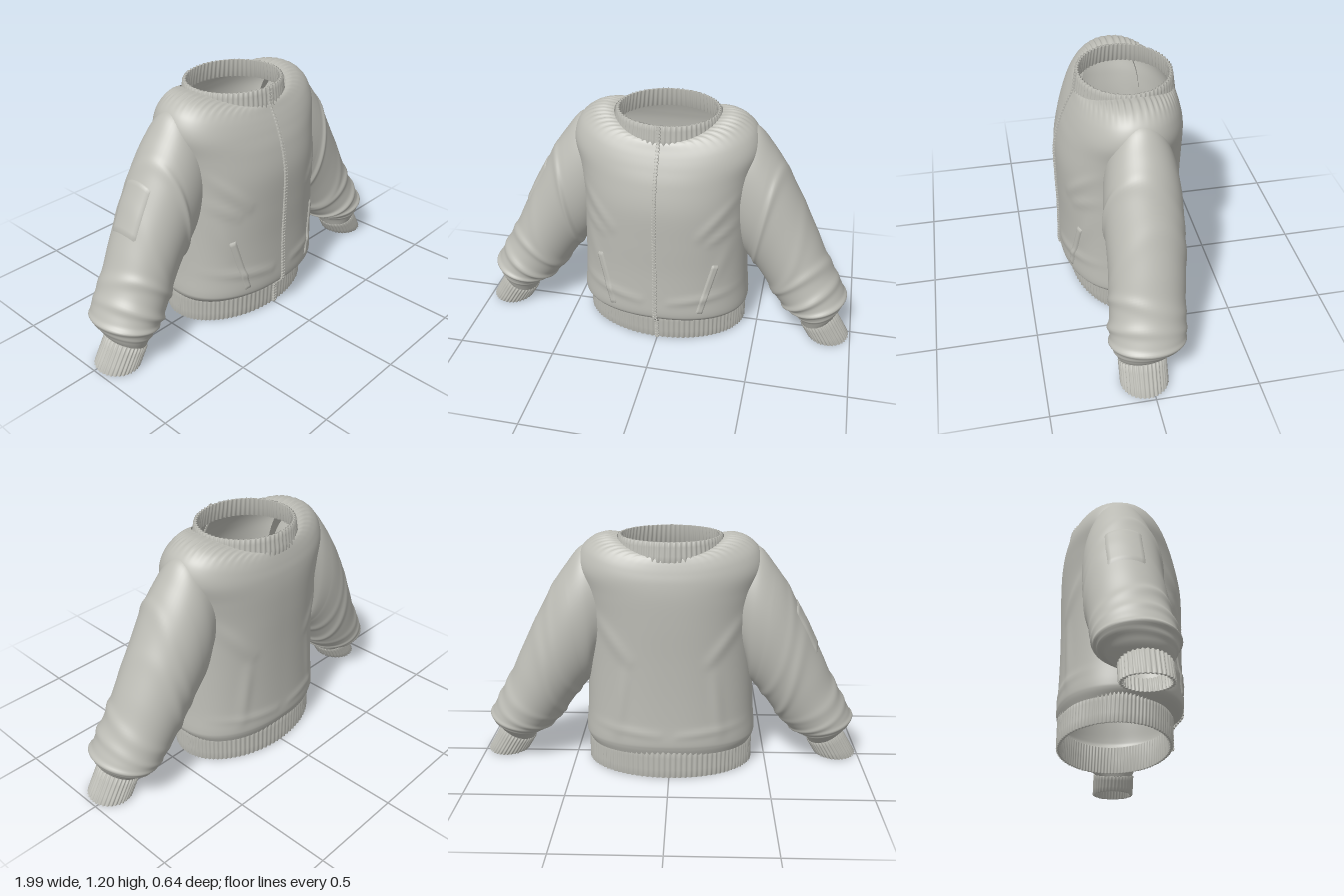
import * as THREE from 'three';
import { mergeGeometries } from 'three/addons/utils/BufferGeometryUtils.js';

const TAU = Math.PI * 2;
const fabric = new THREE.MeshStandardMaterial({ color: 0xbcbcb5, side: THREE.DoubleSide });
fabric.name = 'grey fabric';

const gauss = (d, w) => Math.exp(-(d * d) / (w * w));
const spow = (v, p) => Math.sign(v) * Math.abs(v) ** p;

// Smooth interpolation through the rows of a table, t in 0..1
function sample(table, t) {
  const f = Math.min(Math.max(t, 0), 1) * (table.length - 1);
  const i = Math.min(Math.floor(f), table.length - 2), k = f - i;
  const row = j => table[Math.min(Math.max(j, 0), table.length - 1)];
  return table[i].map((b, c) => {
    const a = row(i - 1)[c], d = row(i + 1)[c], e = row(i + 2)[c];
    return b + 0.5 * k * (d - a + k * (2 * a - 5 * b + 4 * d - e + k * (3 * (b - d) + e - a)));
  });
}

// Surface from a rule fn(u, v), optionally closed in u and v
function grid(nu, nv, fn, wrapU = false, wrapV = false) {
  const cols = wrapU ? nu : nu + 1, rows = wrapV ? nv : nv + 1, pos = [], idx = [];
  for (let j = 0; j < rows; j++)
    for (let i = 0; i < cols; i++) pos.push(...fn(i / nu, j / nv, i, j).toArray());
  for (let j = 0; j < nv; j++)
    for (let i = 0; i < nu; i++) {
      const i2 = (i + 1) % cols, j2 = (j + 1) % rows;
      const a = j * cols + i, b = j * cols + i2, c = j2 * cols + i, d = j2 * cols + i2;
      idx.push(a, c, b, b, c, d);
    }
  const g = new THREE.BufferGeometry();
  g.setAttribute('position', new THREE.Float32BufferAttribute(pos, 3));
  g.setIndex(idx);
  g.computeVertexNormals();
  return g;
}

// Torso rings: half width, y at the sides, y at front and back, front z, back z
const TORSO = [
  [0.415, 0.13, 0.13, 0.25, -0.30], [0.437, 0.165, 0.165, 0.295, -0.312],
  [0.44, 0.2, 0.2, 0.31, -0.316], [0.432, 0.3, 0.3, 0.308, -0.31],
  [0.425, 0.45, 0.45, 0.306, -0.306], [0.42, 0.62, 0.62, 0.31, -0.306],
  [0.42, 0.8, 0.8, 0.31, -0.31], [0.44, 0.94, 0.93, 0.286, -0.31],
  [0.465, 1.05, 1.01, 0.258, -0.303], [0.44, 1.135, 1.06, 0.236, -0.292],
  [0.385, 1.185, 1.095, 0.218, -0.282], [0.32, 1.203, 1.118, 0.206, -0.274],
  [0.262, 1.198, 1.128, 0.198, -0.27],
];
const ROUND = 2.25;

// Cloth folds: x0, y0, x1, y1, height, width, front (1) or back (-1)
const FOLDS = [
  [0.39, 0.86, 0.22, 0.68, 0.012, 0.025, 1], [0.40, 0.72, 0.27, 0.64, 0.012, 0.022, 1],
  [0.42, 0.33, 0.08, 0.28, 0.009, 0.022, 1], [0.36, 0.60, 0.30, 0.42, 0.007, 0.03, 1],
  [0.40, 0.86, 0.20, 0.62, 0.012, 0.03, -1], [0.26, 0.24, 0.22, 0.55, 0.009, 0.03, -1],
  [0.38, 0.27, 0.05, 0.24, 0.006, 0.02, -1],
];
function foldHeight(x, y, face) {
  let h = 0;
  for (const [x0, y0, x1, y1, amp, w, f] of FOLDS) {
    if (f !== face) continue;
    const dx = x1 - x0, dy = y1 - y0, ax = Math.abs(x) - x0, ay = y - y0;
    const k = Math.min(Math.max((ax * dx + ay * dy) / (dx * dx + dy * dy), 0), 1);
    h += amp * Math.sin(Math.PI * (0.15 + 0.7 * k)) * gauss(Math.hypot(ax - k * dx, ay - k * dy), w);
  }
  return h;
}
function torsoPoint(a, t, lift = 0) {
  const [hw, ys, yf, zf, zb] = sample(TORSO, t);
  const c = Math.cos(a), s = Math.sin(a), side = c * c;
  const x = hw * spow(c, 2 / ROUND);
  let y = yf + (ys - yf) * side;
  // gathers fanning out from the collar over the shoulders
  y += 0.006 * Math.cos(56 * a) * side * gauss(t - 0.92, 0.08);
  const face = s >= 0 ? 1 : -1;
  const z = (zf + zb) / 2 + (zf - zb) / 2 * spow(s, 2 / ROUND);
  return new THREE.Vector3(x + lift * c, y, z + s * (lift + foldHeight(x, y, face)));
}
// Point of the torso's front at a given x and y
function frontPoint(x, y, lift) {
  let lo = 0, hi = 1;
  for (let i = 0; i < 24; i++) {
    const m = (lo + hi) / 2;
    if (sample(TORSO, m)[2] < y) lo = m; else hi = m;
  }
  const c = spow(x / sample(TORSO, lo)[0], ROUND / 2);
  return torsoPoint(Math.acos(c), lo, lift);
}

// Sleeve rings: outer x, y, inner x, y, front z, back z
const SLEEVE = [
  [0.375, 1.165, 0.40, 0.52, 0.125, -0.19], [0.45, 1.135, 0.405, 0.465, 0.14, -0.212],
  [0.52, 1.05, 0.425, 0.435, 0.15, -0.22], [0.585, 0.955, 0.455, 0.40, 0.155, -0.22],
  [0.68, 0.78, 0.50, 0.34, 0.155, -0.215], [0.775, 0.59, 0.545, 0.275, 0.16, -0.205],
  [0.835, 0.46, 0.58, 0.225, 0.168, -0.195], [0.905, 0.335, 0.62, 0.185, 0.178, -0.188],
  [0.945, 0.25, 0.665, 0.155, 0.178, -0.175], [0.925, 0.18, 0.71, 0.13, 0.16, -0.125],
  [0.90, 0.14, 0.738, 0.08, 0.14, -0.075],
];
const CUFF = [[0.99, 0.008, 0.778, 0.008, 0.145, -0.08], [0.908, 0.148, 0.736, 0.078, 0.145, -0.08]];
const HEM = [[0.424, 0.006, -0.424, 0.006, 0.252, -0.308], [0.424, 0.15, -0.424, 0.15, 0.258, -0.306]];
const COLLAR = [[0.268, 1.11, -0.268, 1.11, 0.206, -0.28], [0.254, 1.206, -0.254, 1.206, 0.192, -0.266]];
// Creases around the sleeve: position, slant, phase, height, width
const CREASES = [
  [0.79, 0.02, 0.5, 0.014, 0.02], [0.71, 0.03, 2.2, 0.013, 0.02], [0.86, 0.015, 4, 0.01, 0.018],
  [0.60, 0.05, 1.2, 0.009, 0.022], [0.47, 0.06, 3.6, 0.008, 0.025], [0.32, 0.05, 1.8, 0.01, 0.022],
];
function ringPoint([ox, oy, ix, iy, zf, zb], a, lift) {
  const ex = (ox - ix) / 2, ey = (oy - iy) / 2, len = Math.hypot(ex, ey);
  const k = Math.cos(a) * (1 + lift / len), zr = (zf - zb) / 2 + lift;
  return new THREE.Vector3((ox + ix) / 2 + ex * k, (oy + iy) / 2 + ey * k, (zf + zb) / 2 + zr * Math.sin(a));
}
function sleevePoint(side, a, t, lift = 0) {
  for (const [p, slant, ph, h, w] of CREASES)
    lift += h * (0.65 + 0.35 * Math.cos(a - ph)) * gauss(t - p - slant * Math.cos(a + ph), w);
  const p = ringPoint(sample(SLEEVE, t), a, lift);
  p.x -= 0.04 * Math.sin(a) ** 2 * Math.max(0, 1 - t * 5);
  p.x *= side;
  return p;
}

// Thick ribbed band between a bottom and a top ring
function ribbedBand(table, ribs, side = 1) {
  const profile = [[0.03, 0], [0.35, 0], [0.7, 0], [0.97, 0], [1, -0.007], [0.97, -0.014], [0.5, -0.014], [0.03, -0.014], [0, -0.007]];
  return grid(ribs * 4, profile.length, (u, v, i, j) => {
    const [h, inset] = profile[j], a = u * TAU * side;
    const p = ringPoint(sample(table, h), a, inset + 0.004 * Math.cos(ribs * a));
    p.x *= side;
    return p;
  }, true, true);
}
// Raised patch whose rim sinks into the cloth below
function patch(nu, nv, at) {
  return grid(nu, nv, (u, v, i, j) => {
    const rim = i === 0 || j === 0 || i === nu || j === nv;
    return at(u, v, rim ? -0.004 : 0.007);
  });
}

export function createModel() {
  const model = new THREE.Group();
  model.name = 'bomberJacket';
  const add = (name, geometry) => {
    const mesh = new THREE.Mesh(geometry, fabric);
    mesh.name = name;
    model.add(mesh);
  };

  add('torso', grid(224, 90, (u, v) => torsoPoint(u * TAU, v), true));
  add('hemBand', ribbedBand(HEM, 96));
  add('collarBand', ribbedBand(COLLAR, 64));

  for (const side of [1, -1]) {
    const label = side > 0 ? 'left' : 'right';
    add(label + 'Sleeve', grid(64, 110, (u, v) => sleevePoint(side, -u * TAU * side, v), true));
    add(label + 'Cuff', ribbedBand(CUFF, 34, side));
    // slanted welt pocket on the front
    add(label + 'PocketWelt', patch(6, 24, (u, v, lift) => {
      const x = 0.222 + 0.075 * v + (u - 0.5) * 0.036 * -side;
      return frontPoint(side * x, 0.21 + 0.295 * v - (u - 0.5) * 0.01 * -side, lift);
    }));
  }

  // utility pocket on the outside of the right sleeve
  add('sleevePocket', patch(14, 16, (u, v, lift) => sleevePoint(-1, -0.55 + 1.0 * u, 0.35 + 0.125 * v, lift)));

  // front zip running from hem to collar
  const path = [];
  for (let y = 0.01; y < 1.2; y += 0.035) {
    const z = y < 0.145 ? 0.256 : y > 1.11 ? 0.206 - (y - 1.11) * 0.14 : frontPoint(0, y, 0).z;
    path.push(new THREE.Vector3(0, y, z));
  }
  path.push(new THREE.Vector3(0, 1.206, 0.193));
  const zip = new THREE.CatmullRomCurve3(path);
  add('zipTape', new THREE.TubeGeometry(zip, 90, 0.008, 8));
  const teeth = [];
  for (let i = 0; i < 74; i++) {
    const k = (i + 0.5) / 74, p = zip.getPointAt(k), d = zip.getTangentAt(k);
    const tooth = new THREE.BoxGeometry(0.02, 0.009, 0.014);
    tooth.rotateX(Math.atan2(d.z, d.y));
    teeth.push(tooth.translate(p.x, p.y, p.z + 0.003));
  }
  add('zipTeeth', mergeGeometries(teeth));
  return model;
}
